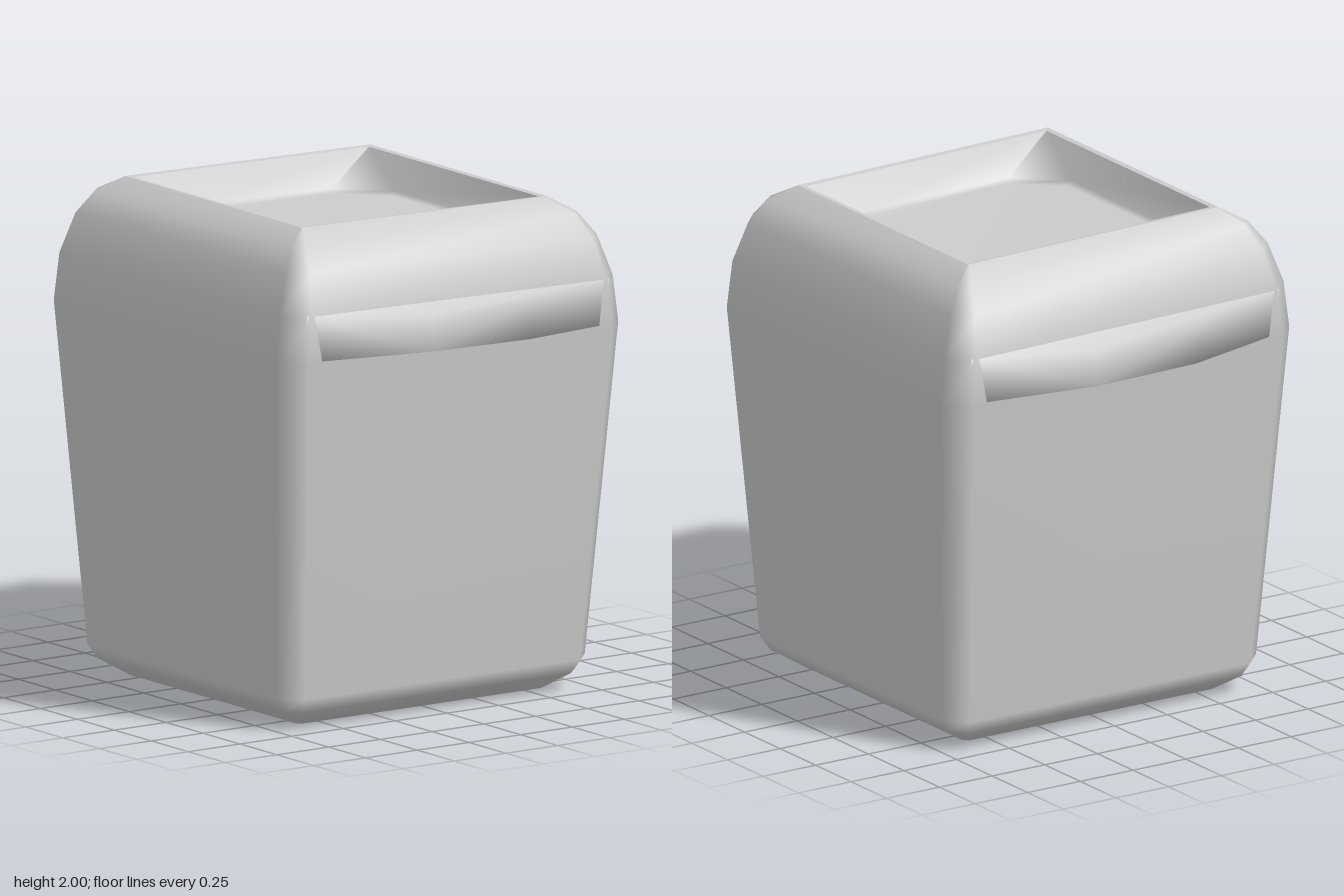
import * as THREE from 'three';

// the top leans down very slightly toward +x
const lean = ([x, y, z]) => [x, y - 0.017 * (x + 0.59) * Math.min(1, y / 1.5), z];

// rectangle with cut corners, running counter-clockwise seen from above
function ring(y, hx, hz, cut) {
  const a = hx - cut, b = hz - cut;
  return [[-a, hz], [a, hz], [hx, b], [hx, -b], [a, -hz], [-a, -hz], [-hx, -b], [-hx, b]]
    .map(([x, z]) => [x, y, z]);
}

// skin a list of equal-length rings, with optional flat caps
function loft(rings, capStart, capEnd) {
  const n = rings[0].length, last = (rings.length - 1) * n, index = [];
  for (let i = 0; i < rings.length - 1; i++) {
    for (let j = 0; j < n; j++) {
      const a = i * n + j, b = i * n + (j + 1) % n;
      index.push(a, b, b + n, a, b + n, a + n);
    }
  }
  for (let j = 1; j < n - 1; j++) {
    if (capStart) index.push(0, j + 1, j);
    if (capEnd) index.push(last, last + j, last + j + 1);
  }
  const g = new THREE.BufferGeometry();
  g.setAttribute('position', new THREE.Float32BufferAttribute(rings.flat().map(lean).flat(), 3));
  g.setIndex(index);
  g.computeVertexNormals();
  return g;
}

export function createModel() {
  const group = new THREE.Group();
  const grey = new THREE.MeshStandardMaterial({ color: 0xcccccc });
  grey.name = 'light grey';
  const add = (name, geometry) => {
    const mesh = new THREE.Mesh(geometry, grey);
    mesh.name = name;
    group.add(mesh);
  };

  // tapered shell: height, half width, half depth, corner cut
  const shell = [
    [0, 0.595, 0.58, 0.02], [0.07, 0.705, 0.685, 0.06], [0.13, 0.745, 0.72, 0.08],
    [1.5, 0.825, 0.845, 0.09], [1.69, 0.805, 0.835, 0.09], [1.85, 0.753, 0.78, 0.07],
    [1.94, 0.69, 0.705, 0.04], [2, 0.592, 0.6, 0.006],
  ].map((r) => ring(...r));
  add('body', loft(shell, true, false));

  // thin rim around the opening
  add('rim', loft([ring(2, 0.592, 0.6, 0.006), ring(1.997, 0.57, 0.575, 0.006)], false, false));

  // sunken top: square mouth narrowing to an octagonal floor
  add('recess', loft([
    ring(1.997, 0.57, 0.575, 0.006), ring(1.865, 0.525, 0.515, 0.175), ring(1.85, 0.505, 0.49, 0.17),
  ], false, true));

  // tapered grips on the front and back
  for (const [name, s] of [['frontHandle', 1], ['backHandle', -1]]) {
    const section = (hx, low, high, z) =>
      [[-hx, low], [hx, low], [hx, high], [-hx, high]].map(([x, y]) => [s * x, y, s * z]);
    add(name, loft([
      section(0.73, 1.51, 1.695, 0.825),
      section(0.23, 1.53, 1.675, 0.985),
    ], false, true));
  }
  return group;
}
